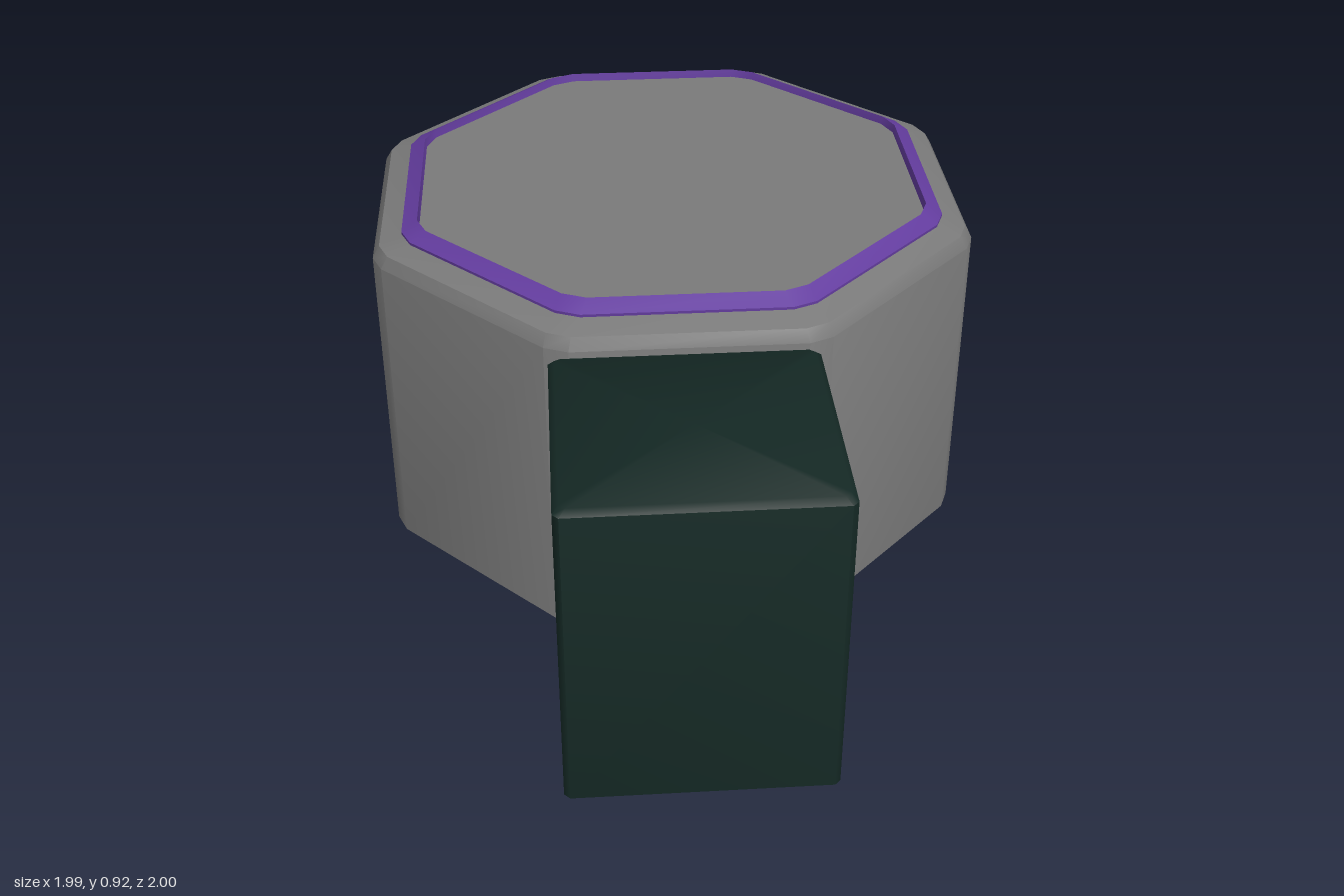
import * as THREE from 'three';
import { toCreasedNormals } from 'three/addons/utils/BufferGeometryUtils.js';

const material = (color) => new THREE.MeshStandardMaterial({ color, side: THREE.DoubleSide });

// Corners of an octagon with flat sides on the axes
function octagon(apothem) {
  const r = apothem / Math.cos(Math.PI / 8);
  return Array.from({ length: 8 }, (_, i) => {
    const a = (i + 0.5) * Math.PI / 4;
    return new THREE.Vector2(r * Math.cos(a), r * Math.sin(a));
  });
}

function rectangle(w, d) {
  return [[1, -1], [1, 1], [-1, 1], [-1, -1]].map(([x, z]) => new THREE.Vector2(x * w / 2, z * d / 2));
}

// Replace each corner by two points, cut back along both edges
function bevelCorners(corners, cut) {
  const n = corners.length;
  return corners.flatMap((p, i) => [corners[(i + n - 1) % n], corners[(i + 1) % n]].map((q) => {
    const edge = q.clone().sub(p);
    return p.clone().addScaledVector(edge.normalize(), cut);
  }));
}

// Skin a stack of [outline, y] sections; an outline of null closes to the centre
function loft(sections, crease) {
  const count = sections[0][0].length;
  const rings = sections.map(([outline, y]) => Array.from({ length: count }, (_, j) =>
    outline ? new THREE.Vector3(outline[j].x, y, outline[j].y) : new THREE.Vector3(0, y, 0)));
  const pos = [];
  const tri = (a, b, c) => {
    if (a.equals(b) || b.equals(c) || a.equals(c)) return;
    for (const v of [a, b, c]) pos.push(v.x, v.y, v.z);
  };
  for (let i = 0; i < rings.length - 1; i++) {
    for (let j = 0; j < count; j++) {
      const k = (j + 1) % count;
      tri(rings[i][j], rings[i + 1][j], rings[i][k]);
      tri(rings[i][k], rings[i + 1][j], rings[i + 1][k]);
    }
  }
  const geometry = new THREE.BufferGeometry();
  geometry.setAttribute('position', new THREE.Float32BufferAttribute(pos, 3));
  return toCreasedNormals(geometry, crease);
}

export function createModel() {
  const model = new THREE.Group();
  model.name = 'octagonalPlatform';

  const add = (parent, name, geometry, mat) => {
    const mesh = new THREE.Mesh(geometry, mat);
    mesh.name = name;
    parent.add(mesh);
    return mesh;
  };
  const grey = material(0x7a7a7a);
  const oct = (apothem) => bevelCorners(octagon(apothem), 0.035);

  // Octagonal drum, offset to the back right, open underneath
  const drum = new THREE.Group();
  drum.name = 'drum';
  drum.position.set(-0.214, 0, -0.215);
  drum.rotation.y = 0.01;
  model.add(drum);

  add(drum, 'drumWall', loft([
    [oct(0.781), 0], [oct(0.781), 0.835], [oct(0.763), 0.866], [oct(0.705), 0.885],
  ], 0.6), grey);

  // Raised coloured trim, with a flange tucked under the drum's shoulder
  add(drum, 'trimRing', loft([
    [oct(0.757), 0.863], [oct(0.705), 0.88], [oct(0.705), 0.892], [oct(0.664), 0.915], [oct(0.66), 0.893],
  ], 0.5), material(0x633c9e));

  // Flat top inside the trim
  add(drum, 'topPanel', loft([[oct(0.66), 0.893], [null, 0.893]], 0.5), grey);

  // Step block set against the diagonal side, open underneath
  const rect = (inset) => bevelCorners(rectangle(0.65 - inset, 0.612 - inset), 0.014);
  const step = add(model, 'stepBlock', loft([
    [rect(0), 0], [rect(0), 0.818], [rect(0.03), 0.833], [null, 0.833],
  ], 0.9), material(0x142824));
  step.position.set(0.56, 0, 0.562);
  step.rotation.y = Math.PI / 4 + 0.01;

  return model;
}
